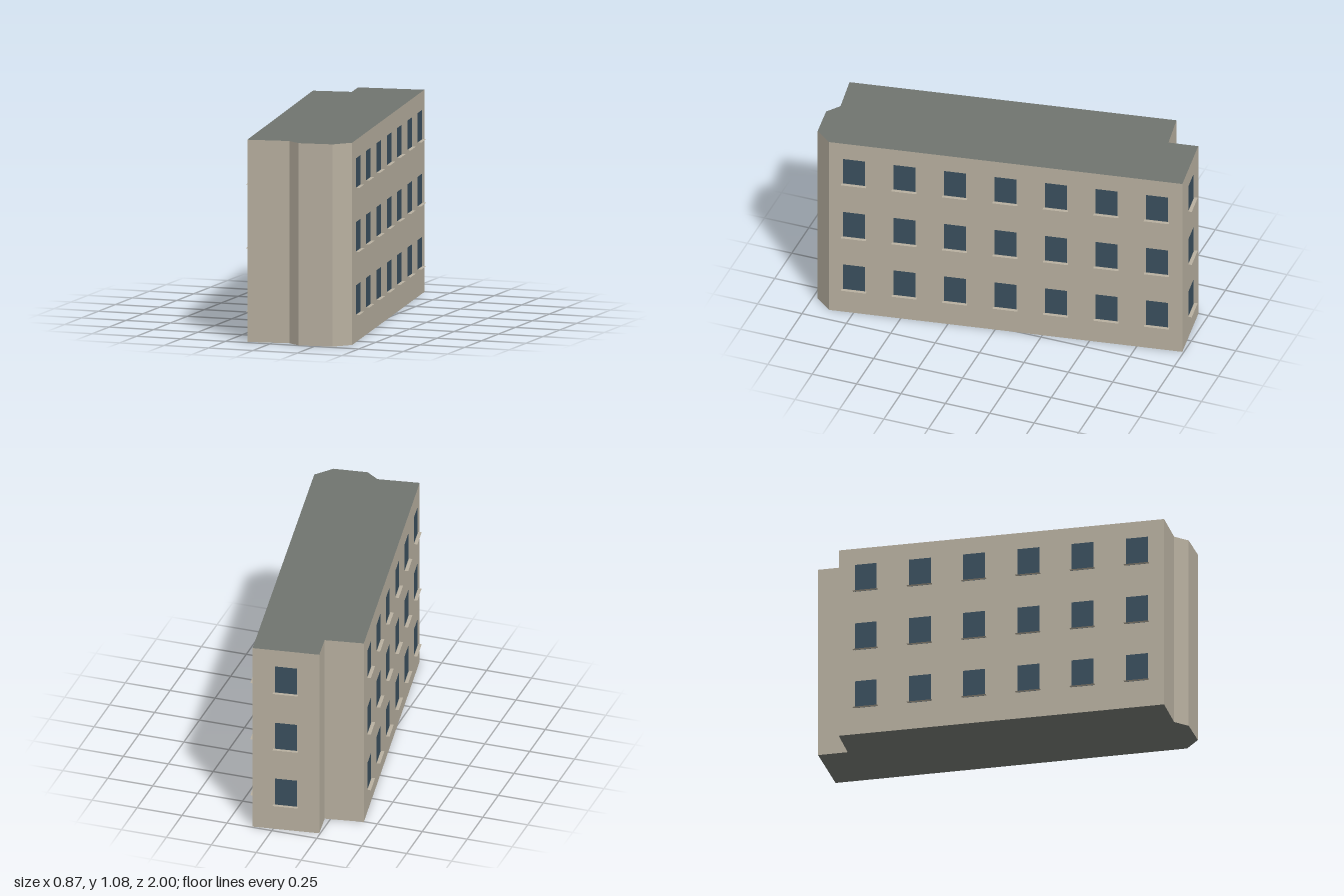
import * as THREE from 'three';

const HEIGHT = 1.075;
const STOREYS = [0.227, 0.563, 0.902]; // window centre heights
const WIN_W = 0.118, WIN_H = 0.156;

// Footprint corners (x, z), running clockwise as seen from above
const FOOTPRINT = [
  [-0.245, -0.945], [0.11, -0.992], [0.417, 0.88], [0.342, 0.972], [0.16, 0.995],
  [0.087, 0.942], [-0.136, 0.977], [-0.426, -0.753], [-0.22, -0.787],
];

// Walls that carry windows: index of the first corner, number of windows per storey
const WINDOW_WALLS = [
  { name: 'backWindows', corner: 0, count: 1 },
  { name: 'leftWindows', corner: 1, count: 7 },
  { name: 'rightWindows', corner: 6, count: 6 },
];

const material = (color, side = THREE.FrontSide) =>
  new THREE.MeshStandardMaterial({ color, side });

export function createModel() {
  const model = new THREE.Group();
  model.name = 'apartmentBlock';
  const wallMat = material(0xb8b0a0);
  const roofMat = material(0x70746f);
  const glassMat = material(0x3a4f5e, THREE.DoubleSide);
  const sillMat = material(0xb8b0a0, THREE.DoubleSide);

  // Solid block: caps are roof and underside, sides are the walls
  const outline = new THREE.Shape(FOOTPRINT.map(([x, z]) => new THREE.Vector2(x, -z)));
  const blockGeo = new THREE.ExtrudeGeometry(outline, { depth: HEIGHT, bevelEnabled: false });
  blockGeo.rotateX(-Math.PI / 2);
  const block = new THREE.Mesh(blockGeo, [roofMat, wallMat]);
  block.name = 'wallsAndRoof';
  model.add(block);

  // Pane just in front of the wall, with a thin flat sill at its foot
  const paneGeo = new THREE.PlaneGeometry(WIN_W, WIN_H).translate(0, 0, 0.004);
  const sillGeo = new THREE.PlaneGeometry(0.134, 0.018)
    .rotateX(-Math.PI / 2)
    .translate(0, -WIN_H / 2, 0.015);

  for (const { name, corner, count } of WINDOW_WALLS) {
    const [ax, az] = FOOTPRINT[corner];
    const [bx, bz] = FOOTPRINT[corner + 1];
    const dx = bx - ax, dz = bz - az;
    const row = new THREE.Group();
    row.name = name;
    for (let i = 0; i < count; i++) {
      const t = (i + 0.5) / count;
      for (const y of STOREYS) {
        const unit = new THREE.Group();
        unit.name = 'window';
        const pane = new THREE.Mesh(paneGeo, glassMat);
        pane.name = 'windowPane';
        const sill = new THREE.Mesh(sillGeo, sillMat);
        sill.name = 'windowSill';
        unit.add(pane, sill);
        unit.position.set(ax + dx * t, y, az + dz * t);
        unit.rotation.y = Math.atan2(dz, -dx); // face outwards
        row.add(unit);
      }
    }
    model.add(row);
  }
  return model;
}
